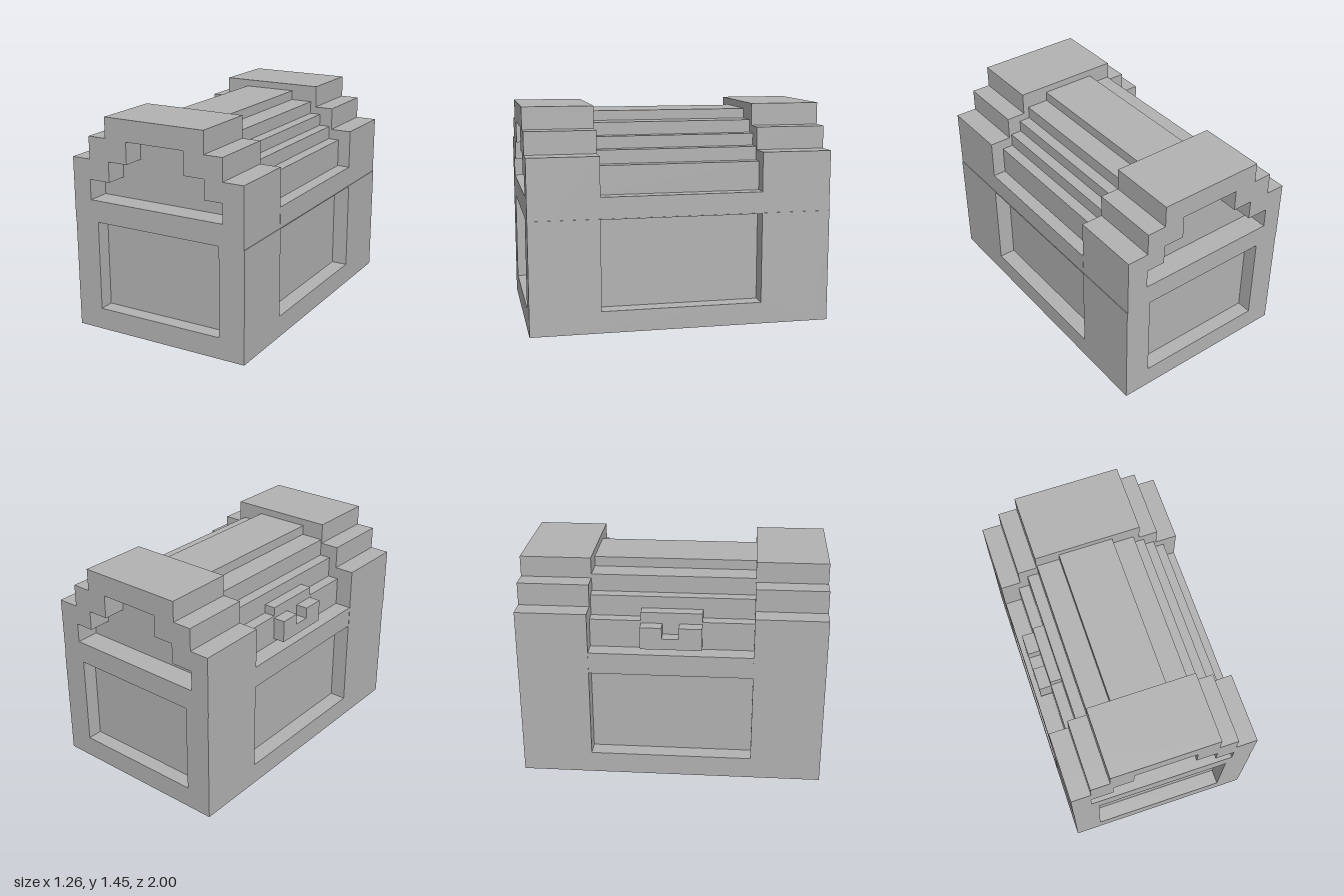
import * as THREE from 'three';

export function createModel() {
  const model = new THREE.Group();
  model.name = 'chest';
  const stone = new THREE.MeshStandardMaterial({ color: 0xb2b2b2 });
  stone.name = 'plain grey';

  const add = (parent, name, geometry) => {
    const mesh = new THREE.Mesh(geometry, stone);
    mesh.name = name;
    parent.add(mesh);
    return mesh;
  };
  const group = (name) => {
    const g = new THREE.Group();
    g.name = name;
    model.add(g);
    return g;
  };
  // Box given by its lower and upper limits on each axis
  const block = (parent, name, [x0, x1], [y0, y1], [z0, z1]) => {
    const mesh = add(parent, name, new THREE.BoxGeometry(x1 - x0, y1 - y0, z1 - z0));
    mesh.position.set((x0 + x1) / 2, (y0 + y1) / 2, (z0 + z1) / 2);
    return mesh;
  };
  const vectors = (points) => points.map(([x, y]) => new THREE.Vector2(x, y));
  const rect = (w, y0, y1) => [[-w, y0], [w, y0], [w, y1], [-w, y1]];
  // Flat outline with an optional hole, extruded from z = 0 to z = depth
  const slab = (outline, depth, hole) => {
    const shape = new THREE.Shape(vectors(outline));
    if (hole) shape.holes.push(new THREE.Path(vectors(hole)));
    return new THREE.ExtrudeGeometry(shape, { depth, bevelEnabled: false });
  };
  // Stepped outline; each step is [left edge, right edge, left top, right top], lowest first
  const stepped = (bottom, steps) => {
    const right = [], left = [];
    steps.forEach(([l, r, lt, rt], i) => {
      const [, , lb, rb] = i ? steps[i - 1] : [0, 0, bottom, bottom];
      right.push([r, rb], [r, rt]);
      left.push([l, lb], [l, lt]);
    });
    return [...right, ...left.reverse()];
  };

  // Base: solid core inside framed walls that leave recessed panels
  const base = group('base');
  const W = 0.627, H = 0.75, inner = 0.517;
  block(base, 'baseCore', [-inner, inner], [0.04, H], [-0.9, 0.9]);
  for (const s of [1, -1]) {
    const end = add(base, s > 0 ? 'frontFrame' : 'backFrame',
      slab(rect(W, 0, H), 0.1, rect(0.45, 0.145, 0.745)));
    end.position.z = s > 0 ? 0.9 : -1;
    const side = add(base, s > 0 ? 'leftFrame' : 'rightFrame',
      slab(rect(0.9, 0, H), W - inner, rect(0.535, 0.145, 0.745)));
    side.rotation.y = s * Math.PI / 2;
    side.position.x = s * inner;
  }
  const foot = add(base, 'bottomFrame', slab(rect(inner, -0.9, 0.9), 0.04, rect(0.45, -0.635, 0.635)));
  foot.rotation.x = -Math.PI / 2;

  // Lid: two stepped end caps, each with a stepped recess in its outer face
  const lid = group('lid');
  const capOutline = stepped(H, [
    [-0.63, 0.623, 1.16, 1.15], [-0.498, 0.478, 1.31, 1.3], [-0.37, 0.35, 1.447, 1.447]]);
  const capRecess = stepped(0.89, [
    [-0.5, 0.478, 1.025, 1.02], [-0.35, 0.35, 1.16, 1.15], [-0.212, 0.207, 1.305, 1.305]]);
  for (const s of [1, -1]) {
    const name = s > 0 ? 'front' : 'back';
    add(lid, name + 'Cap', slab(capOutline, 0.31)).position.z = s > 0 ? 0.535 : -0.845;
    add(lid, name + 'CapFrame', slab(capOutline, 0.155, capRecess)).position.z = s > 0 ? 0.845 : -1;
  }

  // Middle of the lid: narrow steps between the caps
  const middle = stepped(H, [
    [-0.628, 0.624, 0.89, 0.89], [-0.515, 0.535, 1.08, 1.08], [-0.44, 0.46, 1.14, 1.17],
    [-0.44, 0.385, 1.22, 1.25], [-0.365, 0.31, 1.335, 1.335], [-0.21, 0.16, 1.4, 1.4]]);
  add(lid, 'lidSteps', slab(middle, 1.07)).position.z = -0.535;

  // Latch on the right side
  const latch = group('latch');
  block(latch, 'latchPlate', [-0.515, -0.44], [1.07, 1.139], [-0.2, 0.2]);
  block(latch, 'latchBar', [-0.595, -0.515], [0.915, 0.99], [-0.06, 0.05]);
  for (const [z0, z1] of [[-0.2, -0.06], [0.05, 0.2]])
    block(latch, 'latchProng', [-0.595, -0.515], [0.915, 1.065], [z0, z1]);

  return model;
}
